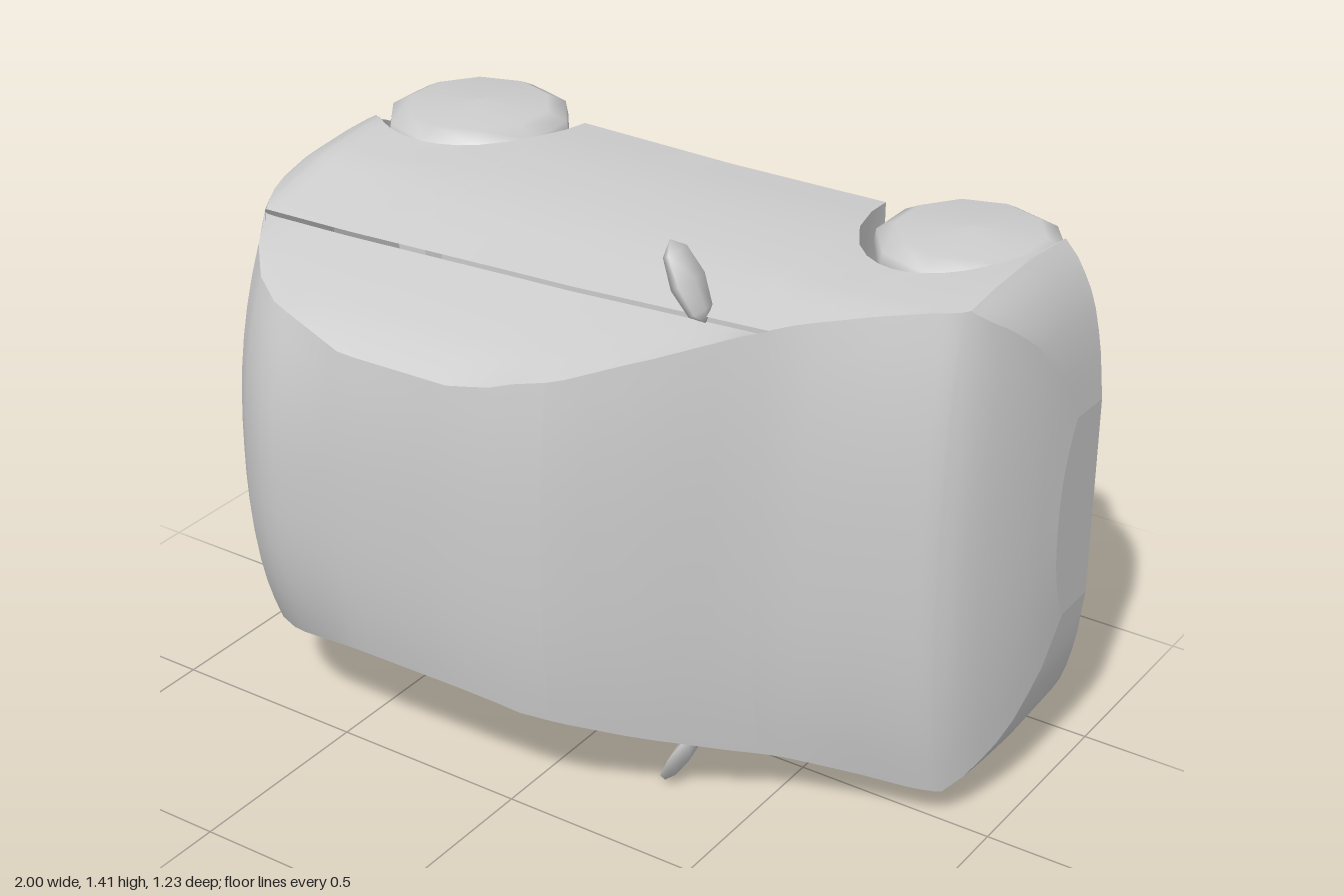
import * as THREE from 'three';
import { toCreasedNormals } from 'three/addons/utils/BufferGeometryUtils.js';

// The car lies on its side: nose to +x, roof to +z, width along y.
const MID = 0.7;
const ROOF = [[-1, -0.1], [-0.98, -0.02], [-0.95, 0.09], [-0.9, 0.27], [-0.84, 0.39], [-0.78, 0.49], [-0.71, 0.56], [-0.62, 0.605],
  [-0.4, 0.605], [-0.1, 0.59], [0.02, 0.57], [0.14, 0.525], [0.3, 0.41], [0.45, 0.285], [0.55, 0.215], [0.7, 0.155], [0.86, 0.09],
  [0.91, 0.04], [0.95, -0.05], [0.98, -0.15], [1, -0.25]];
const PLAN = [[-1, 0.38], [-0.98, 0.48], [-0.96, 0.54], [-0.91, 0.59], [-0.84, 0.625], [-0.6, 0.615], [0, 0.605], [0.5, 0.61],
  [0.8, 0.63], [0.88, 0.635], [0.92, 0.59], [0.96, 0.51], [0.985, 0.4], [1, 0.26]];
const TAPER = [[-0.43, 0.98], [-0.25, 1], [-0.1, 0.99], [0.05, 0.965], [0.25, 0.875], [0.4, 0.79], [0.53, 0.7], [0.58, 0.62], [0.63, 0.5]];
const CROWN = [[-1, 0.07], [-0.8, 0.1], [-0.62, 0.08], [-0.4, 0.035], [-0.1, 0.025], [0.15, 0.03], [0.45, 0.035], [0.7, 0.06], [1, 0.06]];
const ARCHES = [{ x: -0.7, r: 0.27 }, { x: 0.65, r: 0.23 }];

function lookup(table, v) {
  if (v <= table[0][0]) return table[0][1];
  for (let i = 1; i < table.length; i++) {
    const [a, p] = table[i - 1], [b, q] = table[i];
    if (v <= b) return p + (q - p) * (v - a) / (b - a);
  }
  return table[table.length - 1][1];
}

const width = (x, z) => lookup(PLAN, x) * lookup(TAPER, z);
const roofEdge = x => lookup(ROOF, x) - lookup(CROWN, x);
const belt = x => 0.24 - 0.065 * x;
const floorZ = x => (x < -0.9 ? -0.39 : -0.43);

function sill(x) {
  for (const a of ARCHES) {
    const d = (x - a.x) / a.r;
    if (Math.abs(d) < 1) return floorZ(x) + 0.34 * Math.sqrt(1 - d * d);
  }
  return floorZ(x);
}

// Surface through rows of [x, w, z] points
function sheet(name, rows, crease = 0.6) {
  const n = rows[0].length, index = [];
  for (let i = 0; i < rows.length - 1; i++) {
    for (let j = 0; j < n - 1; j++) {
      const a = i * n + j, b = a + n;
      index.push(a, b, a + 1, b, b + 1, a + 1);
    }
  }
  const pos = rows.flat().flatMap(([x, w, z]) => [x, MID + w, z]);
  const geo = new THREE.BufferGeometry();
  geo.setAttribute('position', new THREE.Float32BufferAttribute(pos, 3));
  geo.setIndex(index);
  const mesh = new THREE.Mesh(toCreasedNormals(geo, crease),
    new THREE.MeshStandardMaterial({ color: 0xcccccc, side: THREE.DoubleSide }));
  mesh.name = name;
  return mesh;
}

// Side wall from sill up to the belt line
function sideRow(x, s) {
  const lo = sill(x), hi = Math.min(roofEdge(x), belt(x)), row = [];
  for (let j = 0; j <= 8; j++) {
    const z = lo + (hi - lo) * j / 8;
    row.push([x, s * width(x, z), z]);
  }
  return row;
}

// Side glass from belt line to roof edge, slightly inset at its foot
function glassRow(x, s) {
  const hi = roofEdge(x), lo = Math.min(hi, belt(x)), row = [];
  for (let j = 0; j <= 5; j++) {
    const t = j / 5, z = lo + (hi - lo) * t;
    const inset = hi > lo ? 0.012 * (1 - t) : 0;
    row.push([x, s * (width(x, z) - inset), z]);
  }
  return row;
}

// Crowned strip across the car
function topRow(x) {
  const top = lookup(ROOF, x), edge = roofEdge(x), w = width(x, edge), row = [];
  for (let j = 0; j <= 14; j++) {
    const u = j / 7 - 1;
    row.push([x, u * w, top - (top - edge) * Math.abs(u) ** 2.4]);
  }
  return row;
}

// Floor pan with wheel wells
function floorRow(x) {
  const z = floorZ(x), up = sill(x), w = width(x, up), inner = Math.min(0.42, w * 0.97);
  const half = [[w, up], [inner, up], [inner, z], [inner / 2, z]];
  return [...half.map(([a, b]) => [x, -a, b]), [x, 0, z], ...half.reverse().map(([a, b]) => [x, a, b])];
}

export function createModel() {
  const car = new THREE.Group();
  car.name = 'car';
  const joints = [-0.78, 0.12, 0.5];
  const stations = [...joints];
  for (let i = 0; i <= 60; i++) stations.push(-Math.cos(Math.PI * i / 60));
  for (const a of ARCHES) stations.push(a.x - a.r, a.x - a.r + 0.006, a.x + a.r - 0.006, a.x + a.r);
  stations.sort((a, b) => a - b);

  // Upper panels, split along the length
  const limits = [-1, ...joints, 1];
  ['tailgate', 'roof', 'windscreen', 'bonnet'].forEach((name, i) => {
    const xs = stations.filter(x => x >= limits[i] && x <= limits[i + 1]);
    car.add(sheet(name, xs.map(topRow)));
  });

  car.add(sheet('floorPan', stations.map(floorRow), 0.9));

  const hasGlass = x => x !== undefined && roofEdge(x) > belt(x) + 0.004;
  const glassX = stations.filter((x, i) => hasGlass(x) || hasGlass(stations[i - 1]) || hasGlass(stations[i + 1]));
  for (const [s, side] of [[1, 'left'], [-1, 'right']]) {
    car.add(sheet(`${side}BodySide`, stations.map(x => sideRow(x, s))));
    car.add(sheet(`${side}SideGlass`, glassX.map(x => glassRow(x, s))));
  }

  // Flat closing faces at both bumpers
  for (const [x, name] of [[-1, 'rearBumperFace'], [1, 'frontBumperFace']]) {
    const ring = [...sideRow(x, -1), ...topRow(x), ...sideRow(x, 1).reverse()];
    car.add(sheet(name, [ring, ring.map(([a, , z]) => [a, 0, z])]));
  }

  // Rounded ten-sided wheels
  const profile = [[0, -0.065], [0.17, -0.065], [0.22, -0.045], [0.235, 0], [0.228, 0.04], [0.18, 0.065], [0, 0.075]];
  const wheelGeo = new THREE.LatheGeometry(profile.map(p => new THREE.Vector2(...p)), 10);
  const grey = new THREE.MeshStandardMaterial({ color: 0xcccccc, side: THREE.DoubleSide });
  for (const [x, z, k, name] of [[-0.725, -0.39, 1, 'rear'], [0.66, -0.4, 0.96, 'front']]) {
    for (const s of [1, -1]) {
      const wheel = new THREE.Mesh(wheelGeo, grey);
      wheel.name = `${name}Wheel`;
      wheel.position.set(x, MID + s * 0.535, z);
      wheel.rotation.x = s > 0 ? 0 : Math.PI;
      wheel.scale.set(k, 1, k);
      car.add(wheel);
    }
  }

  // Thin wing mirrors, swept backwards
  for (const s of [1, -1]) {
    const mirror = new THREE.Mesh(new THREE.SphereGeometry(1, 6, 4), grey);
    mirror.name = 'wingMirror';
    mirror.scale.set(0.022, 0.1, 0.06);
    mirror.rotation.z = s * 0.5;
    mirror.position.set(0.3, MID + s * 0.615, 0.22);
    car.add(mirror);
  }
  return car;
}
